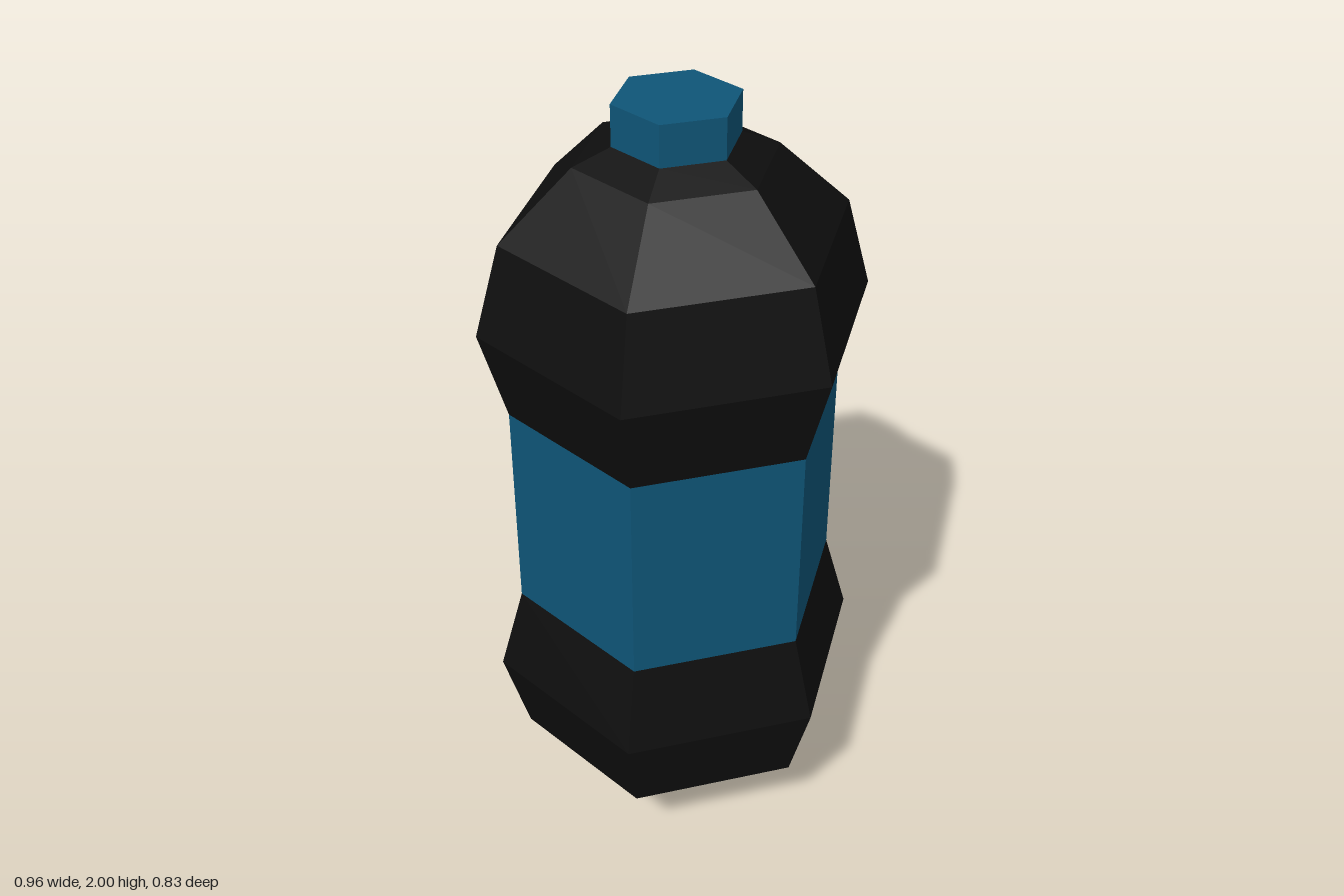
import * as THREE from 'three';

export function createModel() {
  const group = new THREE.Group();
  group.name = 'bottle';

  const black = new THREE.MeshStandardMaterial({ color: 0x0e0e0e, flatShading: true });
  black.name = 'black shell';
  const blue = new THREE.MeshStandardMaterial({ color: 0x0f5577, flatShading: true });
  blue.name = 'blue';

  // Six-sided turned part from [radius, height] pairs, listed bottom to top,
  // with hexagon corners on the x axis
  function turned(name, profile, material) {
    const points = profile.map(([r, y]) => new THREE.Vector2(r, y));
    const mesh = new THREE.Mesh(new THREE.LatheGeometry(points, 6, Math.PI / 2), material);
    mesh.name = name;
    group.add(mesh);
  }

  // Rounded base
  turned('lowerBody', [[0, 0.005], [0.24, 0.065], [0.415, 0.23], [0.478, 0.457], [0.415, 0.68]], black);

  // Straight band around the waist
  turned('label', [[0.415, 0.68], [0.415, 1.24]], blue);

  // Rounded shoulders closing in to the neck
  turned('upperBody', [[0.415, 1.24], [0.478, 1.468], [0.415, 1.695], [0.24, 1.862], [0.15, 1.9]], black);

  // Screw cap
  turned('cap', [[0, 1.9], [0.15, 1.9], [0.15, 2], [0, 2]], blue);

  return group;
}
